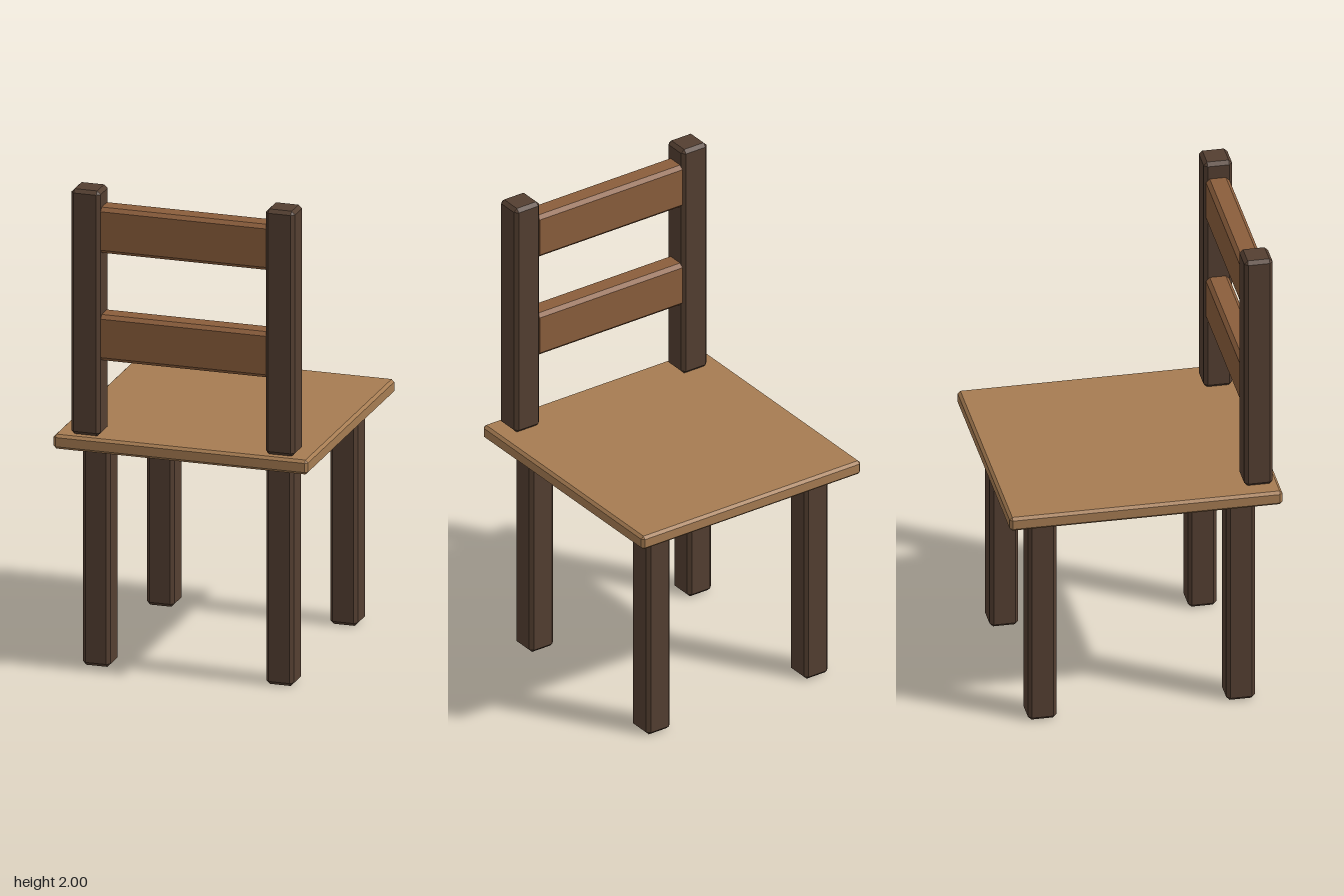
import * as THREE from 'three';
import { ConvexGeometry } from 'three/addons/geometries/ConvexGeometry.js';

const material = (color) => new THREE.MeshStandardMaterial({ color, flatShading: true });

// Box with every edge and corner cut by a flat chamfer c
function chamferBox(w, h, d, c) {
  const points = [];
  for (const sx of [-1, 1]) for (const sy of [-1, 1]) for (const sz of [-1, 1]) {
    const [x, y, z] = [w / 2, h / 2, d / 2];
    points.push(
      new THREE.Vector3(sx * x, sy * (y - c), sz * (z - c)),
      new THREE.Vector3(sx * (x - c), sy * y, sz * (z - c)),
      new THREE.Vector3(sx * (x - c), sy * (y - c), sz * z));
  }
  return new ConvexGeometry(points);
}

export function createModel() {
  const chair = new THREE.Group();
  chair.name = 'chair';
  const darkWood = material(0x543f31);
  const railWood = material(0x8b5e3c);
  const seatWood = material(0xa67c52);

  const add = (name, geometry, mat, x, y, z) => {
    const mesh = new THREE.Mesh(geometry, mat);
    mesh.name = name;
    mesh.position.set(x, y, z);
    chair.add(mesh);
  };

  // Seat board
  add('seat', chamferBox(1.06, 0.06, 1.1, 0.011), seatWood, 0, 0.95, 0);

  // Four legs and two backrest posts
  const leg = chamferBox(0.115, 0.92, 0.115, 0.014);
  const post = chamferBox(0.122, 1.02, 0.115, 0.014);
  for (const side of [-1, 1]) {
    const label = side > 0 ? 'left' : 'right';
    add(`${label}FrontLeg`, leg, darkWood, side * 0.382, 0.46, 0.4);
    add(`${label}BackLeg`, leg, darkWood, side * 0.382, 0.46, -0.4);
    add(`${label}Post`, post, darkWood, side * 0.405, 1.49, 0.467);
  }

  // Backrest rails between the posts
  const rail = chamferBox(0.72, 0.19, 0.095, 0.015);
  add('lowerRail', rail, railWood, 0, 1.388, 0.464);
  add('upperRail', rail, railWood, 0, 1.835, 0.464);

  return chair;
}
